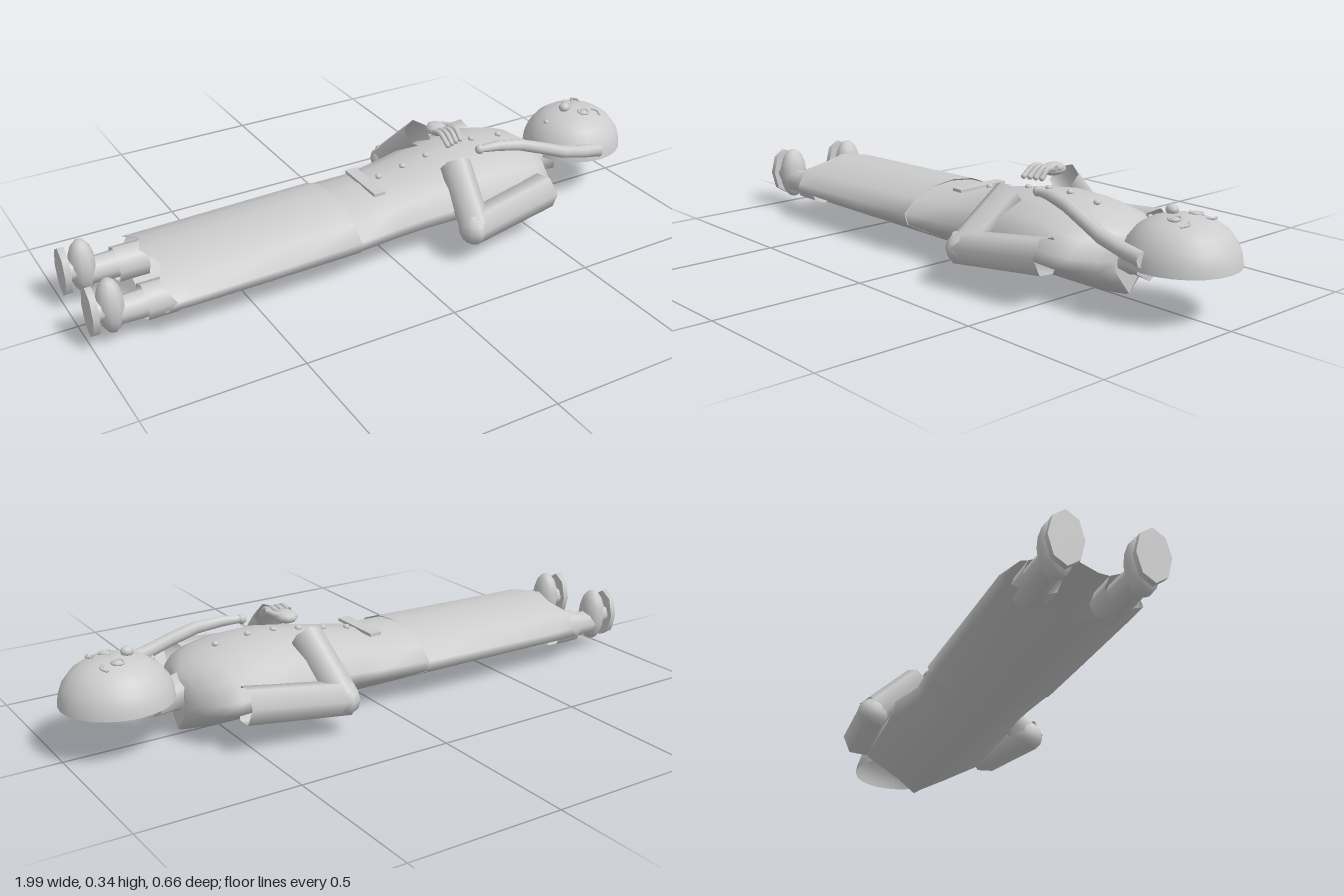
import * as THREE from 'three';

const grey = new THREE.MeshStandardMaterial({ color: 0xcccccc, side: THREE.DoubleSide });
grey.name = 'light grey';

const V = (x, y, z) => new THREE.Vector3(x, y, z);

function add(parent, name, geometry, x = 0, y = 0, z = 0) {
  const mesh = new THREE.Mesh(geometry, grey);
  mesh.name = name;
  mesh.position.set(x, y, z);
  parent.add(mesh);
  return mesh;
}

// skin over rings of equal length; every ring is a closed loop
function loft(rings, cap = false) {
  const n = rings[0].length, pos = [], idx = [];
  rings.forEach(r => r.forEach(p => pos.push(p.x, p.y, p.z)));
  for (let i = 0; i < rings.length - 1; i++) {
    for (let j = 0; j < n; j++) {
      const a = i * n + j, b = a + n, c = (i + 1) * n + (j + 1) % n, d = i * n + (j + 1) % n;
      idx.push(a, b, c, a, c, d);
    }
  }
  if (cap) {
    const o = pos.length / 3, last = rings[rings.length - 1];
    last.forEach(p => pos.push(p.x, p.y, p.z));
    for (let j = 1; j < n - 1; j++) idx.push(o, o + j, o + j + 1);
  }
  const g = new THREE.BufferGeometry();
  g.setAttribute('position', new THREE.Float32BufferAttribute(pos, 3));
  g.setIndex(idx);
  g.computeVertexNormals();
  return g;
}

// body section with a keel below and a rounded top
function section(x, w, top, bottom = 0, zigzag = 0) {
  const h = top - bottom;
  const half = [[0, 0], [0.5, 0.23], [0.95, 0.45], [1, 0.62], [0.76, 0.82], [0.4, 0.96], [0, 1]];
  const loop = half.concat(half.slice(1, -1).reverse().map(([z, y]) => [-z, y]));
  return loop.map(([z, y], i) => V(x + (i % 2 && y > 0.5 ? zigzag : 0), bottom + y * h, z * w));
}

// straight faceted tube between two points
function limb(parent, name, a, b, ra, rb, sides = 6, open = true) {
  const d = b.clone().sub(a);
  const g = new THREE.CylinderGeometry(rb, ra, d.length(), sides, 1, open);
  g.applyQuaternion(new THREE.Quaternion().setFromUnitVectors(V(0, 1, 0), d.normalize()));
  const m = a.clone().add(b).multiplyScalar(0.5);
  return add(parent, name, g, m.x, m.y, m.z);
}

function ball(parent, name, x, y, z, rx, ry, rz, w = 10, h = 8) {
  return add(parent, name, new THREE.SphereGeometry(1, w, h).scale(rx, ry, rz), x, y, z);
}

export function createModel() {
  const model = new THREE.Group();
  model.name = 'lyingFigure';

  // long skirt with a ragged hem
  add(model, 'skirt', loft([
    section(-0.79, 0.21, 0.2, 0.005, 0.03), section(-0.7, 0.21, 0.202, 0.002),
    section(-0.4, 0.209, 0.21), section(-0.15, 0.208, 0.217),
  ]));

  // fitted jacket closing towards the neck
  add(model, 'jacket', loft([
    section(-0.155, 0.201, 0.212), section(0, 0.19, 0.218), section(0.1, 0.197, 0.235),
    section(0.2, 0.212, 0.253), section(0.33, 0.228, 0.272), section(0.45, 0.236, 0.268),
    section(0.53, 0.23, 0.252), section(0.58, 0.2, 0.235, 0.005),
    section(0.62, 0.13, 0.21, 0.01), section(0.635, 0.065, 0.19, 0.015),
  ], true));

  // belt buckle and buttons
  add(model, 'buckle', new THREE.BoxGeometry(0.04, 0.01, 0.19), -0.02, 0.218, 0);
  [[0.03, 0.226], [0.12, 0.241], [0.21, 0.257], [0.3, 0.27], [0.39, 0.273], [0.5, 0.262]].forEach(([x, y]) =>
    ball(model, 'button', x, y, 0, 0.011, 0.009, 0.011, 8, 6));

  // neck
  const ring = (x, r) => Array.from({ length: 6 }, (_, i) => {
    const t = i * Math.PI / 3;
    return V(x, 0.135 - r * Math.cos(t), r * Math.sin(t));
  });
  add(model, 'neck', loft([ring(0.6, 0.07), ring(0.65, 0.058), ring(0.71, 0.064)], true));

  // hollow half head
  const dome = [[1, 0], [0.98, 0.2], [0.91, 0.45], [0.76, 0.7], [0.56, 0.87], [0.3, 0.97], [0, 1]];
  const head = new THREE.LatheGeometry(dome.map(([r, y]) => new THREE.Vector2(r, y)), 24);
  add(model, 'head', head.scale(0.172, 0.135, 0.165), 0.822, 0.155, 0);

  // face
  ball(model, 'nose', 0.782, 0.296, 0, 0.02, 0.016, 0.018);
  ball(model, 'mouth', 0.705, 0.259, 0, 0.008, 0.008, 0.01);
  for (const s of [1, -1]) {
    const eye = new THREE.TorusGeometry(0.018, 0.004, 6, 14).rotateX(Math.PI / 2);
    add(model, 'eyeRim', eye, 0.83, 0.287, s * 0.045).rotation.x = s * 0.1;
    ball(model, 'eye', 0.83, 0.285, s * 0.045, 0.015, 0.007, 0.015);
    const brow = new THREE.CatmullRomCurve3([
      V(0.872, 0.284, s * 0.035), V(0.884, 0.281, s * 0.055), V(0.874, 0.278, s * 0.08)]);
    add(model, 'eyebrow', new THREE.TubeGeometry(brow, 8, 0.004, 6));
  }

  // curved braid from the head over the chest, thicker at the root
  const braidPath = [
    [0.355, 0.285, 0.1, 0.012], [0.42, 0.286, 0.112, 0.018], [0.5, 0.276, 0.128, 0.021],
    [0.58, 0.25, 0.141, 0.022], [0.66, 0.22, 0.15, 0.023], [0.74, 0.203, 0.156, 0.023], [0.815, 0.19, 0.157, 0.024]];
  add(model, 'braid', loft(braidPath.map(([x, y, z, r]) => Array.from({ length: 8 }, (_, i) => {
    const t = i * Math.PI / 4;
    return V(x, y - r * Math.cos(t), z + r * Math.sin(t));
  })), true));
  ball(model, 'braidTip', 0.355, 0.285, 0.1, 0.016, 0.016, 0.016);

  for (const s of [1, -1]) {
    // bent sleeve
    const lift = s < 0 ? 0.012 : 0;
    limb(model, 'upperSleeve', V(0.2, 0.115, s * 0.275), V(0.53, 0.15, s * 0.235), 0.055, 0.06);
    limb(model, 'foreSleeve', V(0.222, 0.115, s * 0.285), V(0.25, 0.265 + lift, s * 0.115), 0.05, 0.05);
    ball(model, 'elbow', 0.215, 0.115, s * 0.278, 0.045, 0.05, 0.053, 8, 6);

    // trouser cuff, ankle and shoe
    const z = s * 0.123;
    limb(model, 'cuff', V(-0.835, 0.1, s * 0.118), V(-0.74, 0.1, s * 0.118), 0.057, 0.057, 8);
    limb(model, 'ankle', V(-0.92, 0.1, z), V(-0.8, 0.1, z), 0.042, 0.045, 8);
    ball(model, 'shoe', -0.932, 0.125, z, 0.042, 0.09, 0.05, 10, 8);
    limb(model, 'shoeWaist', V(-0.985, 0.12, z), V(-0.94, 0.12, z), 0.035, 0.035, 8, false);
    const sole = new THREE.CylinderGeometry(1, 1, 0.02, 8).rotateZ(Math.PI / 2);
    add(model, 'sole', sole.scale(1, 0.083, 0.052), -0.99, 0.122, z);
  }

  // hand resting on the chest, with four fingers and a thumb
  ball(model, 'palm', 0.278, 0.32, -0.04, 0.036, 0.02, 0.045, 10, 6);
  for (let i = 0; i < 4; i++) {
    const x = 0.25 + i * 0.02;
    const finger = new THREE.CatmullRomCurve3([
      V(x, 0.328, -0.015), V(x + 0.003, 0.333, 0.02), V(x + 0.004, 0.308, 0.062 - i * 0.006)]);
    add(model, 'finger', new THREE.TubeGeometry(finger, 6, 0.009, 6));
    ball(model, 'fingertip', x + 0.004, 0.308, 0.062 - i * 0.006, 0.009, 0.009, 0.009, 6, 5);
  }
  limb(model, 'thumb', V(0.3, 0.325, -0.05), V(0.325, 0.335, -0.005), 0.011, 0.008, 6, false);

  return model;
}
